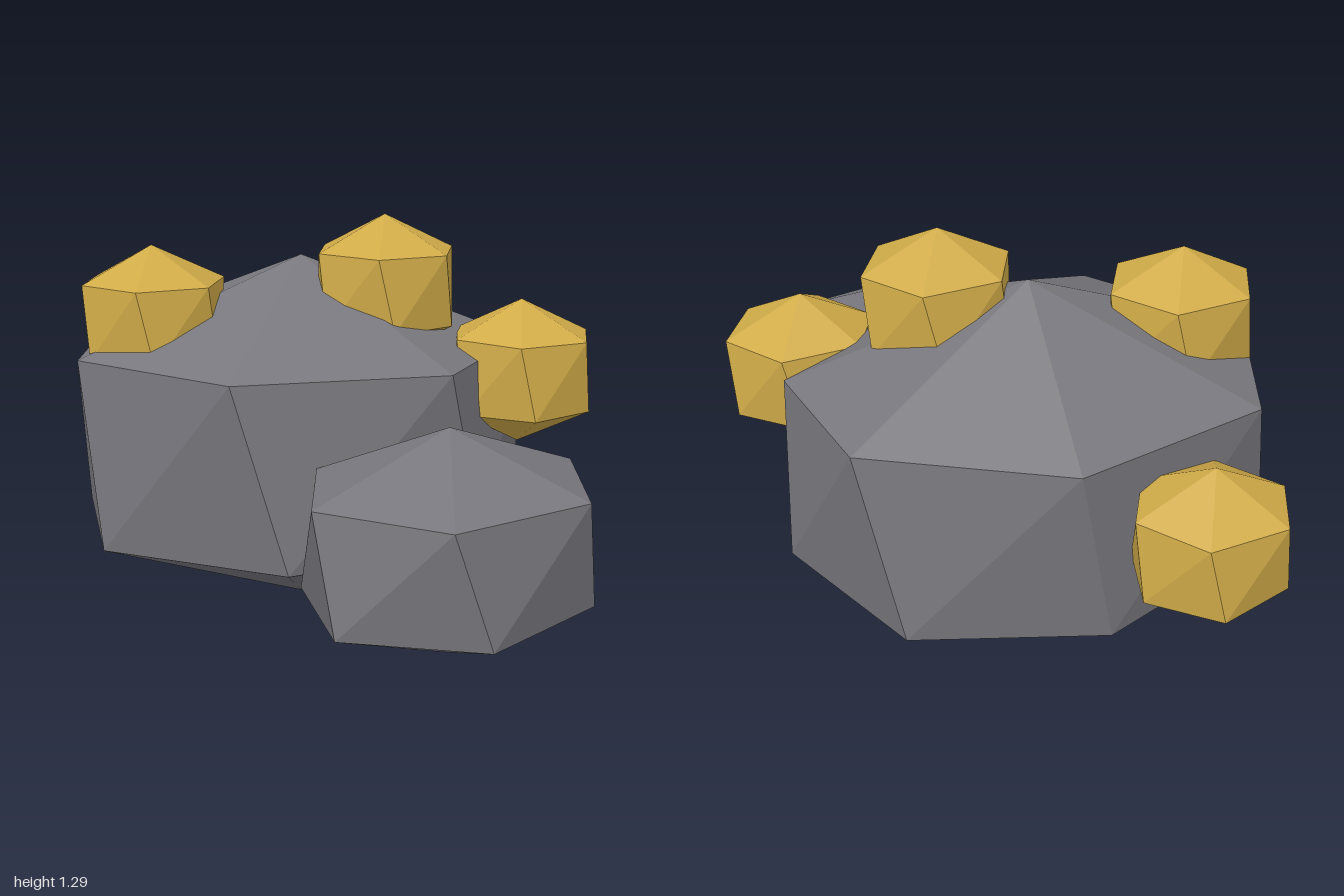
import * as THREE from 'three';

// Faceted stone: two poles and two rings of [x, z] points, each lower point
// sitting between two upper ones. Rings lie halfway between centre and pole.
function stoneGeometry(upper, lower, half) {
  const n = upper.length;
  const positions = [];
  const add = (...corners) => corners.forEach(c => positions.push(...c));
  const top = [0, half, 0];
  const bottom = [0, -half, 0];
  const u = upper.map(([x, z]) => [x, half / 2, z]);
  const l = lower.map(([x, z]) => [x, -half / 2, z]);
  for (let i = 0; i < n; i++) {
    const j = (i + 1) % n;
    add(top, u[i], u[j]);
    add(u[i], l[i], u[j]);
    add(l[i], l[j], u[j]);
    add(bottom, l[j], l[i]);
  }
  const geometry = new THREE.BufferGeometry();
  geometry.setAttribute('position', new THREE.Float32BufferAttribute(positions, 3));
  geometry.computeVertexNormals();
  return geometry;
}

const twist = (ring, angle) => ring.map(([x, z]) => [
  x * Math.cos(angle) - z * Math.sin(angle),
  x * Math.sin(angle) + z * Math.cos(angle),
]);

const around = (ring, cx, cz) => ring.map(([x, z]) => [x - cx, z - cz]);

export function createModel() {
  const group = new THREE.Group();
  const stone = new THREE.MeshStandardMaterial({ color: 0x78777d });
  stone.name = 'greyStone';
  const gold = new THREE.MeshStandardMaterial({ color: 0xd0ab48 });
  gold.name = 'gold';

  const place = (name, geometry, material, position) => {
    const mesh = new THREE.Mesh(geometry, material);
    mesh.name = name;
    mesh.position.set(...position);
    group.add(mesh);
  };

  // Large boulder, seven sided
  const largeUpper = [[-0.62, 0.38], [-0.04, 0.515], [0.51, 0.135], [0.543, -0.505],
    [0.165, -0.815], [-0.46, -0.68], [-0.815, -0.145]];
  const largeLower = [[-0.5, 0.465], [0.12, 0.46], [0.57, -0.03], [0.525, -0.575],
    [0.01, -0.83], [-0.53, -0.59], [-0.815, 0]];
  place('largeBoulder', stoneGeometry(
    around(largeUpper, -0.095, -0.15), around(largeLower, -0.095, -0.15), 0.575),
  stone, [-0.095, 0.577, -0.15]);

  // Small boulder, six sided
  const smallUpper = [[0.32, 0.77], [0.73, 0.805], [0.995, 0.415], [0.84, 0],
    [0.39, -0.02], [0.18, 0.39]];
  const smallLower = [[0.41, 0.825], [0.825, 0.74], [0.995, 0.305], [0.75, -0.04],
    [0.31, 0.07], [0.17, 0.485]];
  place('smallBoulder', stoneGeometry(
    around(smallUpper, 0.585, 0.4), around(smallLower, 0.585, 0.4), 0.3375),
  stone, [0.585, 0.4425, 0.4]);

  // Gold nuggets share one shape
  const nuggetRing = [[-0.16, 0.16], [0.06, 0.217], [0.222, 0.05], [0.17, -0.17],
    [-0.055, -0.228], [-0.222, -0.045]];
  const nugget = stoneGeometry(nuggetRing, twist(nuggetRing, -0.23), 0.23);
  [
    [0.175, 1.06, -0.19],
    [-0.48, 0.97, 0.145],
    [0.605, 0.805, -0.27],
    [-0.775, 0.63, -0.49],
  ].forEach((position, i) => place(`goldNugget${i + 1}`, nugget, gold, position));

  return group;
}
